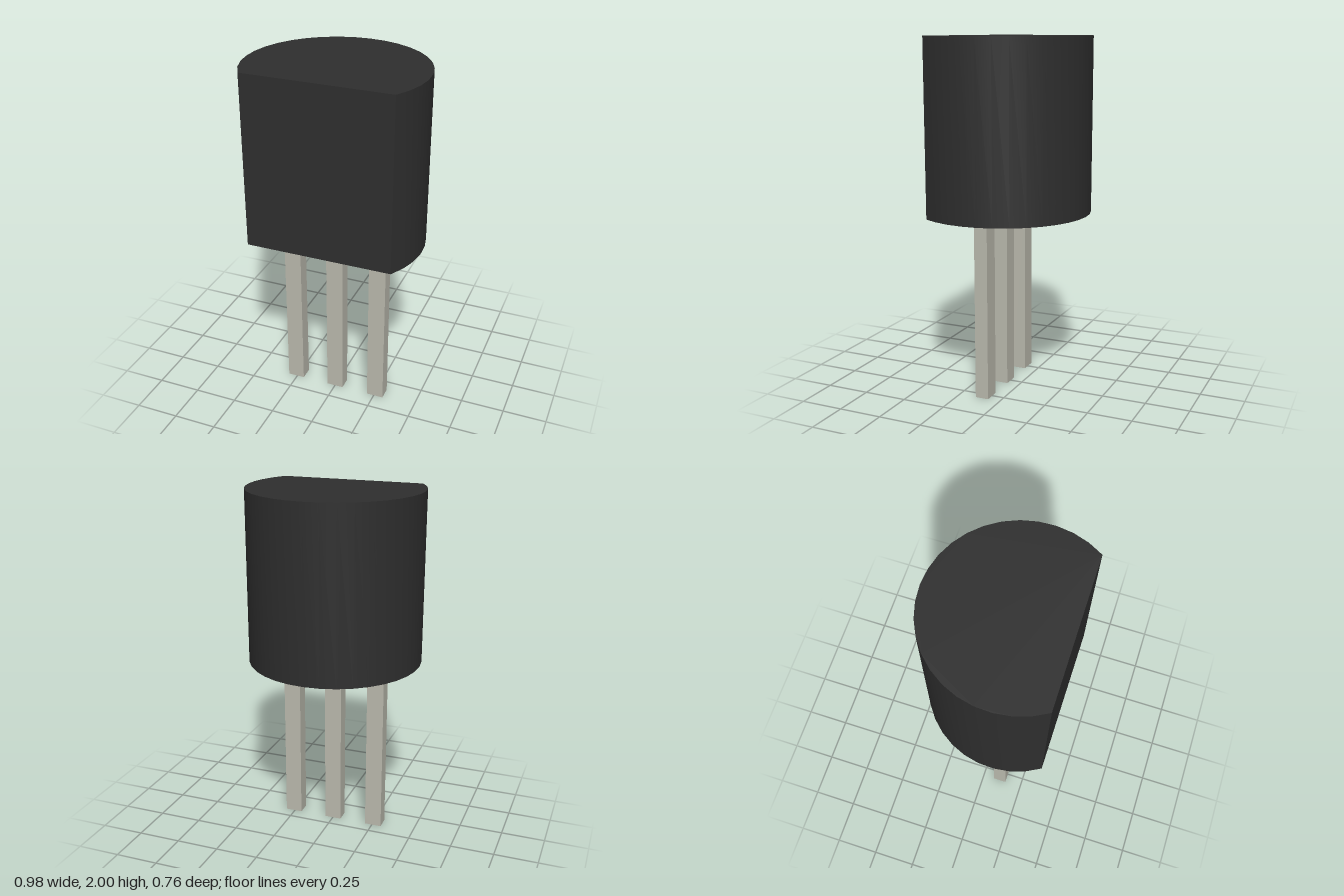
import * as THREE from 'three';
import { toCreasedNormals } from 'three/addons/utils/BufferGeometryUtils.js';

const RADIUS = 0.493, CENTER_Z = 0.11, FLAT_Z = 0.382;
const BODY_BOTTOM = 1.025, BODY_TOP = 2;

export function createModel() {
  const model = new THREE.Group();
  model.name = 'transistor';

  const plastic = new THREE.MeshStandardMaterial({ color: 0x2e2e2e });
  plastic.name = 'black plastic';
  const metal = new THREE.MeshStandardMaterial({ color: 0xbab9ad });
  metal.name = 'tinned metal';

  // Body: round case cut off by a flat front, extruded upwards
  const cut = Math.asin((FLAT_Z - CENTER_Z) / RADIUS);
  const outline = new THREE.Shape();
  outline.absarc(0, -CENTER_Z, RADIUS, -cut, Math.PI + cut, false);
  outline.closePath();
  const bodyGeometry = new THREE.ExtrudeGeometry(outline, {
    depth: BODY_TOP - BODY_BOTTOM, bevelEnabled: false, curveSegments: 12,
  });
  bodyGeometry.rotateX(-Math.PI / 2);
  const body = new THREE.Mesh(toCreasedNormals(bodyGeometry, 0.5), plastic);
  body.name = 'body';
  body.position.y = BODY_BOTTOM;
  model.add(body);

  // Three straight leads under the body
  const leadGeometry = new THREE.BoxGeometry(0.098, BODY_BOTTOM, 0.077);
  [['rightLead', -0.256], ['middleLead', 0], ['leftLead', 0.256]].forEach(([name, x]) => {
    const lead = new THREE.Mesh(leadGeometry, metal);
    lead.name = name;
    lead.position.set(x, BODY_BOTTOM / 2, CENTER_Z);
    model.add(lead);
  });

  return model;
}
